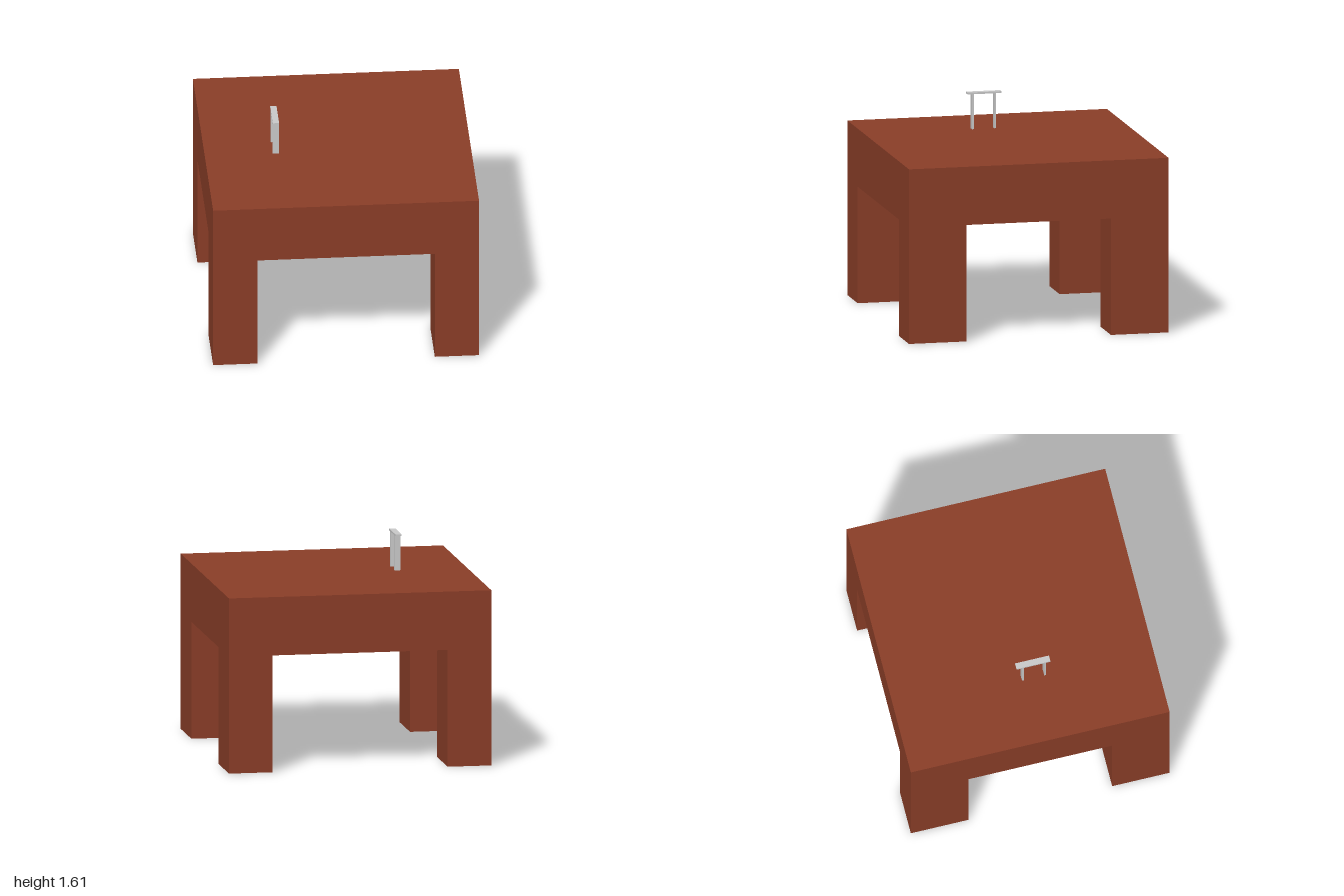
import * as THREE from 'three';

export function createModel() {
  const model = new THREE.Group();
  const brown = new THREE.MeshStandardMaterial({ color: 0x8b3e28, flatShading: true });
  const grey = new THREE.MeshStandardMaterial({ color: 0xcccccc, flatShading: true });

  // Adds a box centred on x, z whose underside sits at y
  function box(name, material, [w, h, d], [x, y, z]) {
    const mesh = new THREE.Mesh(new THREE.BoxGeometry(w, h, d), material);
    mesh.name = name;
    mesh.position.set(x, y + h / 2, z);
    model.add(mesh);
  }

  // Thick table top
  const legHeight = 0.889, topHeight = 0.444;
  const surface = legHeight + topHeight;
  box('tableTop', brown, [2, topHeight, 2], [0, legHeight, 0]);

  // Four legs flush with the corners
  const legW = 0.333, legD = 0.444;
  for (const sx of [-1, 1]) {
    for (const sz of [-1, 1]) {
      box(`${sz > 0 ? 'front' : 'back'}${sx > 0 ? 'Left' : 'Right'}Leg`, brown,
        [legW, legHeight, legD], [sx * (1 - legW / 2), 0, sz * (1 - legD / 2)]);
    }
  }

  // Small stand on the table: two thin uprights under a narrow plate
  const standX = -0.467, standW = 0.047, postHeight = 0.267;
  box('standFrontPost', grey, [standW, postHeight, 0.014], [standX, surface, 0.165]);
  box('standBackPost', grey, [standW, postHeight, 0.014], [standX, surface, -0.007]);
  box('standPlate', grey, [standW, 0.014, 0.262], [standX, surface + postHeight, 0.075]);

  return model;
}
